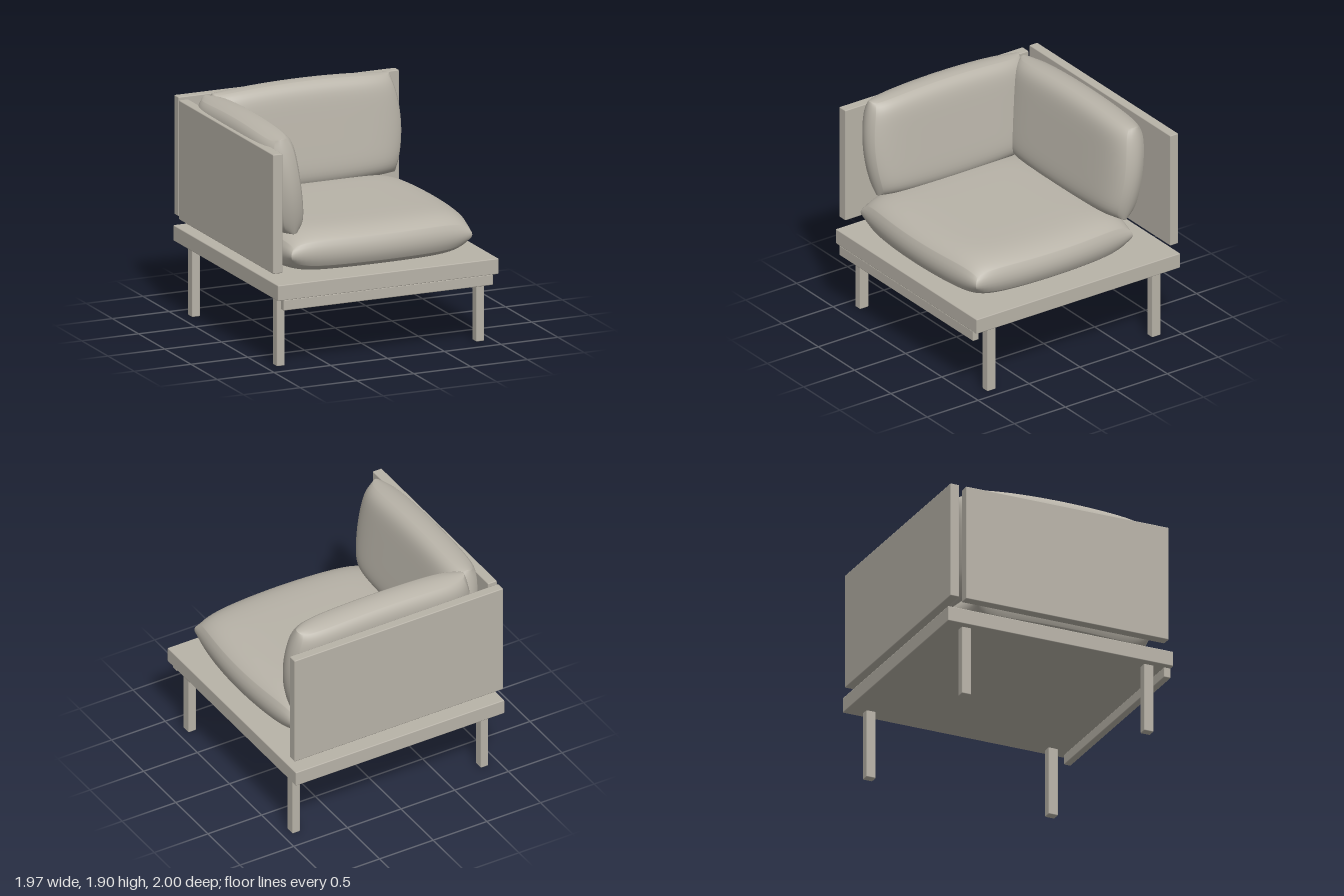
import * as THREE from 'three';
import { mergeVertices } from 'three/addons/utils/BufferGeometryUtils.js';
import { RoundedBoxGeometry } from 'three/addons/geometries/RoundedBoxGeometry.js';

const material = new THREE.MeshStandardMaterial({ color: 0xb8b3a8 });
material.name = 'warm grey';

// Slightly eased slab given by its minimum and maximum corners
function slab(name, [x0, y0, z0], [x1, y1, z1]) {
  const geo = new RoundedBoxGeometry(x1 - x0, y1 - y0, z1 - z0, 1, 0.008);
  const mesh = new THREE.Mesh(geo, material);
  mesh.position.set((x0 + x1) / 2, (y0 + y1) / 2, (z0 + z1) / 2);
  mesh.name = name;
  return mesh;
}

// Stuffed cushion: bowed edges, domed faces, thin corners (half sizes, thickness along y)
function cushion(name, hx, hy, hz) {
  let geo = new THREE.BoxGeometry(2, 2, 2, 28, 6, 28);
  geo.deleteAttribute('uv');
  geo.deleteAttribute('normal');
  geo = mergeVertices(geo, 1e-4);
  const p = geo.attributes.position;
  const swell = (t) => 1 - 0.45 * Math.abs(t) ** 7;
  for (let i = 0; i < p.count; i++) {
    const u = Math.sin(p.getX(i) * Math.PI / 2);
    const v = Math.sin(p.getZ(i) * Math.PI / 2);
    const w = p.getY(i);
    const pinch = 0.035 * w * w; // rounds the side walls
    p.setXYZ(i,
      hx * u * (1 - 0.085 * v * v - pinch * u ** 6),
      hy * w * swell(u) * swell(v),
      hz * v * (1 - 0.085 * u * u - pinch * v ** 6));
  }
  geo.computeVertexNormals();
  const mesh = new THREE.Mesh(geo, material);
  mesh.name = name;
  return mesh;
}

export function createModel() {
  const model = new THREE.Group();
  model.name = 'cornerSofaModule';

  // Platform and front rail
  model.add(slab('platform', [-0.965, 0.585, -1], [0.98, 0.715, 1]));
  model.add(slab('frontRail', [-0.915, 0.5, 0.94], [0.93, 0.59, 1]));

  // Legs
  for (const x of [-0.87, 0.885]) {
    for (const z of [-0.807, 0.81]) {
      model.add(slab('leg', [x - 0.036, 0, z - 0.042], [x + 0.036, 0.6, z + 0.042]));
    }
  }

  // Upright panels
  model.add(slab('backPanel', [-0.965, 0.81, -0.98], [0.98, 1.8, -0.9]));
  model.add(slab('sidePanel', [-0.985, 0.8, -0.85], [-0.9, 1.79, 0.95]));

  // Seat cushion
  const seat = cushion('seatCushion', 0.87, 0.189, 0.84);
  seat.position.set(0.006, 0.904, 0.11);
  model.add(seat);

  // Leaning cushions
  const lean = THREE.MathUtils.degToRad(82);
  const back = cushion('backCushion', 0.85, 0.155, 0.44);
  back.rotation.x = lean;
  back.position.set(0.015, 1.458, -0.645);
  model.add(back);

  const side = new THREE.Group();
  side.name = 'sideCushion';
  const sidePad = cushion('sidePad', 0.8, 0.155, 0.44);
  sidePad.rotation.x = lean;
  side.add(sidePad);
  side.rotation.y = Math.PI / 2;
  side.position.set(-0.768, 1.455, 0.04);
  model.add(side);

  return model;
}
